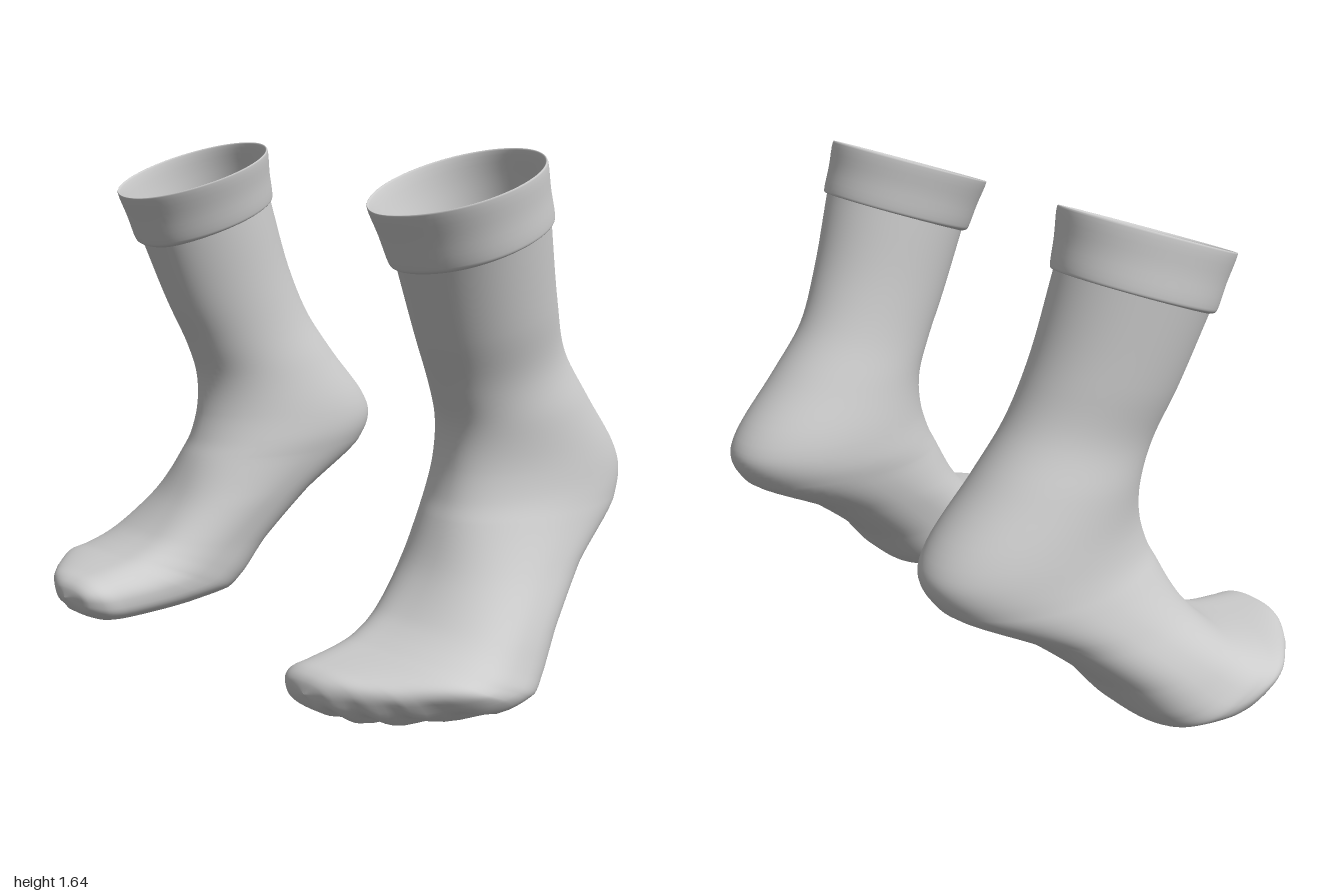
import * as THREE from 'three';

// Each section: front z, front y, back z, back y, inner x, outer x
const CUFF_TOP = [0.356, 1.456, -0.187, 1.637, 0.37, 0.886];
const CUFF_HEM = [0.278, 1.288, -0.227, 1.462, 0.41, 0.871];
const FOOT = [
  [0.262, 1.30, -0.215, 1.47, 0.418, 0.863],
  [0.17, 1.07, -0.30, 1.20, 0.42, 0.82],
  [0.10, 0.92, -0.38, 1.02, 0.41, 0.79],
  [0.056, 0.80, -0.50, 0.86, 0.385, 0.805],
  [0.062, 0.67, -0.66, 0.67, 0.355, 0.82],
  [0.09, 0.58, -0.68, 0.59, 0.35, 0.83],
  [0.12, 0.52, -0.63, 0.505, 0.36, 0.845],
  [0.20, 0.37, -0.38, 0.365, 0.39, 0.885],
  [0.30, 0.265, -0.17, 0.19, 0.42, 0.94],
  [0.36, 0.23, -0.07, 0.07, 0.43, 0.972],
  [0.42, 0.208, 0, 0.015, 0.436, 0.995],
  [0.47, 0.197, 0.14, 0, 0.442, 1],
  [0.58, 0.182, 0.45, 0, 0.458, 0.87],
  [0.64, 0.172, 0.57, 0.018, 0.468, 0.775],
  [0.67, 0.147, 0.65, 0.06, 0.51, 0.69],
  [0.68, 0.11, 0.68, 0.11, 0.61, 0.61],
];
const RIDGE_X = 0.61; // line of the shin and instep

const { clamp, lerp, smoothstep } = THREE.MathUtils;
const spow = (v, e) => Math.sign(v) * Math.abs(v) ** e;

// A cuff section at a fraction of the way down, drawn in by an inset
function cuffSection([down, inset]) {
  const draw = [-1, 0, 1, 0, 1, -1];
  return CUFF_TOP.map((v, k) => lerp(v, CUFF_HEM[k], down) + inset * draw[k]);
}
// Up the inside, over the rim, down the outside, under the hem
const CUFF = [[1, 0.02], [0.5, 0.014], [0.03, 0.008], [0, 0.003], [0.03, 0], [0.5, 0], [0.95, -0.003], [1, 0], [1.03, 0.018]]
  .map(cuffSection);

// Shallow scallops between the toes, along the underside of the front edge
function toeLift(x, y, z) {
  const front = smoothstep(z + 0.9 * (x - 0.6), 0.48, 0.62);
  const under = clamp(1 - y / 0.13, 0, 1);
  const gaps = x > 0.61 ? Math.cos(((x - 0.67) / 0.085) * Math.PI) ** 2 : 0;
  return 0.028 * front * under * gaps;
}

// Smooth skin through the sections, for the sock on the given side
function loft(sections, side, steps, around = 72) {
  const curve = (k) => new THREE.CatmullRomCurve3(
    sections.map((s) => new THREE.Vector3(s[k], s[k + 1], s[k + 2])), false, 'centripetal');
  const first = curve(0);
  const second = curve(3);
  const rows = (sections.length - 1) * steps;
  const pos = [];
  const index = [];
  for (let i = 0; i <= rows; i++) {
    const { x: frontZ, y: frontY, z: backZ } = first.getPoint(i / rows);
    const { x: backY, y: inner, z: outer } = second.getPoint(i / rows);
    const cx = (inner + outer) / 2;
    const cy = (frontY + backY) / 2;
    const cz = (frontZ + backZ) / 2;
    // Round leg, squarer sole
    const power = 2 / (2 + 0.6 * smoothstep(1 - cy, 0.3, 0.9));
    for (let j = 0; j < around; j++) {
      const a = (j / around) * Math.PI * 2;
      const c = spow(Math.cos(a), power);
      const s = spow(Math.sin(a), power);
      const shift = c > 0 ? c * c * (RIDGE_X - cx) * (1 - Math.abs(s)) : 0;
      const x = cx + (s * (outer - inner)) / 2 + shift;
      const y = cy + (c * (frontY - backY)) / 2;
      const z = cz + (c * (frontZ - backZ)) / 2;
      pos.push(x * side, Math.max(y + toeLift(x, y, z), 0), z);
      if (i === rows) continue;
      const p = i * around + j;
      const q = i * around + ((j + 1) % around);
      if (side > 0) index.push(p, p + around, q, q, p + around, q + around);
      else index.push(p, q, p + around, q, q + around, p + around);
    }
  }
  const geo = new THREE.BufferGeometry();
  geo.setAttribute('position', new THREE.Float32BufferAttribute(pos, 3));
  geo.setIndex(index);
  geo.computeVertexNormals();
  return geo;
}

export function createModel() {
  const model = new THREE.Group();
  model.name = 'pairOfSocks';
  const fabric = new THREE.MeshStandardMaterial({ color: 0xcccccc, side: THREE.DoubleSide });
  for (const side of [1, -1]) {
    const sock = new THREE.Group();
    sock.name = side > 0 ? 'leftSock' : 'rightSock';
    // Leg, heel, sole and toes in one skin
    const foot = new THREE.Mesh(loft(FOOT, side, 6), fabric);
    foot.name = 'legAndFoot';
    // Raised band with a rolled rim and an inner face
    const cuff = new THREE.Mesh(loft(CUFF, side, 4), fabric);
    cuff.name = 'cuff';
    sock.add(foot, cuff);
    model.add(sock);
  }
  return model;
}
